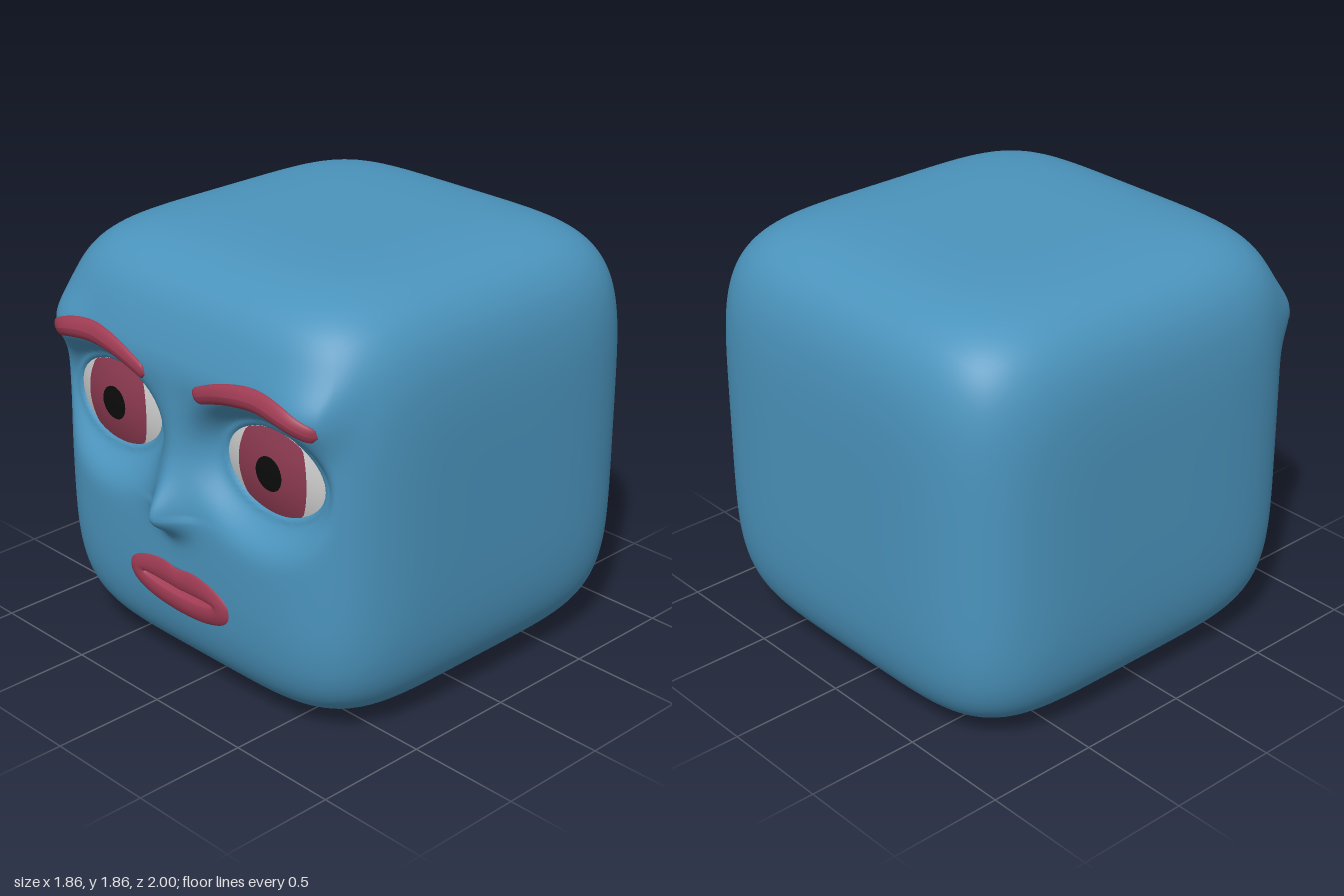
import * as THREE from 'three';
import { mergeVertices } from 'three/addons/utils/BufferGeometryUtils.js';

const { smoothstep, lerp } = THREE.MathUtils;
const mat = (color, side = THREE.FrontSide) => new THREE.MeshStandardMaterial({ color, side });
const BLUE = 0x4b94bd, RED = 0xa03c54, IRIS = 0x8c3a50;

// Rounded-cube head: centre, half sizes and squareness
const H = { y: 0.93, z: -0.065, a: 0.93, c: 0.935, n: 5 };
const EYE = { x: 0.468, y: 1.123, w: 0.268, h: 0.178 };
const bell = (v, s, p = 2) => Math.exp(-Math.pow(Math.abs(v) / s, p));

// Front of the plain rounded cube
function baseZ(x, y) {
  const k = 1 - Math.abs(x / H.a) ** H.n - Math.abs((y - H.y) / H.a) ** H.n;
  return H.z + H.c * Math.max(k, 0) ** (1 / H.n);
}

const eyeDist = (x, y) => Math.hypot((Math.abs(x) - EYE.x) / EYE.w, (y - EYE.y) / EYE.h);

// Front of the eyeball, a shallow dome that turns back at the outer corner
function eyeZ(x, y) {
  const d = Math.min(eyeDist(x, y), 1.1);
  const out = Math.max(0, (Math.abs(x) - EYE.x) / EYE.w);
  return 0.785 - 0.032 * d * d - 0.015 * Math.min(out * out, 1.3);
}

// Sculpted face: sockets, brow ridge and nose
function faceZ(x, y) {
  const ax = Math.abs(x), d = eyeDist(x, y);
  let z = baseZ(x, y);
  // brow ridge
  z += bell(y - 1.44, 0.12) * (0.022 + 0.043 * smoothstep(ax, 0.45, 0.75)) * (1 - smoothstep(ax, 0.77, 0.87));
  // eye socket, fading softly into cheek, brow and nose, with a slight lid at its rim
  const c = (ax - EYE.x) / EYE.w / Math.max(d, 0.01), s = (y - EYE.y) / EYE.h / Math.max(d, 0.01);
  const fade = s * s * (s > 0 ? 0.38 : 0.55) + c * c * (c > 0 ? 0.18 : 0.34);
  const w = d < 1.05 ? 1 : bell(d - 1.05, fade);
  const socket = eyeZ(x, y) + lerp(-0.03, 0.016, smoothstep(d, 0.88, 1.06));
  z = lerp(z, Math.min(z, socket), w);
  // nose bridge and tip
  z += 0.013 * bell(x, 0.08) * smoothstep(y, 0.88, 1.05) * (1 - smoothstep(y, 1.25, 1.45));
  const low = y < 0.83;
  z += 0.13 * bell(y - 0.83, low ? 0.085 : 0.15) * bell(x, low ? 0.09 : 0.08, 1.7);
  return z;
}

function headGeometry() {
  let g = new THREE.BoxGeometry(2, 2, 2, 124, 124, 44);
  g.deleteAttribute('uv');
  g.deleteAttribute('normal');
  g = mergeVertices(g);
  const p = g.attributes.position;
  for (let i = 0; i < p.count; i++) {
    const v = [p.getX(i), p.getY(i), p.getZ(i)];
    const r = v.reduce((s, c) => s + Math.abs(c) ** H.n, 0) ** (1 / H.n);
    const x = v[0] / r * H.a, y = v[1] / r * H.a + H.y;
    let z = v[2] / r * H.c + H.z;
    if (z > 0.2) {
      // hollow behind the lips
      const hollow = 0.06 * (1 - smoothstep(Math.hypot(x / 0.27, (y - 0.465) / 0.09), 0.6, 1));
      z += (faceZ(x, y) - baseZ(x, y) - hollow) * smoothstep(z, 0.2, 0.6);
    }
    p.setXYZ(i, x, y, z);
  }
  g.computeVertexNormals();
  return g;
}

// Surface patch spread from rings: point(s, t) gives [x, y, z], s from centre to rim, t the angle
function patch(point, rings = 12, segs = 64) {
  const pos = [], idx = [];
  for (let j = 0; j <= rings; j++)
    for (let i = 0; i < segs; i++) pos.push(...point(j / rings, i / segs * Math.PI * 2));
  for (let j = 0; j < rings; j++)
    for (let i = 0; i < segs; i++) {
      const k = (i + 1) % segs, a = j * segs + i, b = j * segs + k, c = a + segs, d = b + segs;
      idx.push(a, c, d, a, d, b);
    }
  const g = new THREE.BufferGeometry();
  g.setAttribute('position', new THREE.Float32BufferAttribute(pos, 3));
  g.setIndex(idx);
  g.computeVertexNormals();
  return g;
}

// Radius of an ellipse-like outline along an angle
const polar = (t, w, h, n = 2) =>
  (Math.abs(Math.cos(t) / w) ** n + Math.abs(Math.sin(t) / h) ** n) ** (-1 / n);

function eyePatch(side, radius, lift) {
  return patch((s, t) => {
    const r = s * radius(t);
    const x = side * EYE.x + r * Math.cos(t), y = EYE.y + r * Math.sin(t);
    return [x, y, eyeZ(x, y) + lift];
  });
}

// Eyebrow: a flattened tube hugging the ridge, with rounded, tapered ends
function browGeometry(side) {
  const pts = [[0.145, 1.375], [0.3, 1.427], [0.47, 1.455], [0.62, 1.44], [0.778, 1.385]]
    .map(([x, y]) => new THREE.Vector3(side * x, y, 0));
  const curve = new THREE.CatmullRomCurve3(pts);
  const n = 48, m = 16;
  const g = new THREE.TubeGeometry(curve, n, 0.048, m);
  const p = g.attributes.position, v = new THREE.Vector3();
  for (let i = 0; i <= n; i++) {
    const u = i / n, c = curve.getPointAt(u);
    const end = Math.min(1, Math.min(u, 1 - u) / 0.05);
    const k = Math.sqrt(1 - (1 - end) ** 2) * (0.72 + 0.3 * Math.sin(Math.PI * u));
    for (let j = 0; j <= m; j++) {
      const q = i * (m + 1) + j;
      v.fromBufferAttribute(p, q).sub(c).multiplyScalar(k).add(c);
      p.setXYZ(q, v.x, v.y, faceZ(v.x, v.y) + 0.4 * v.z);
    }
  }
  g.computeVertexNormals();
  return g;
}

// Lips: a rounded band between the mouth slit and the outer outline
function lipsGeometry() {
  return patch((s, t) => {
    const c = Math.cos(t), q = Math.sin(t);
    const slitX = 0.2 * c, slitY = 0.456 + 0.4 * slitX * slitX + 0.002 * q;
    const rimX = 0.305 * c;
    const up = q > 0 ? 0.113 - 0.018 * bell(rimX, 0.06) : 0.118;
    const rimY = 0.468 + up * Math.sign(q) * Math.abs(q) ** 0.85;
    const x = lerp(slitX, rimX, s), y = lerp(slitY, rimY, s);
    const puff = 0.016 * Math.sin(Math.PI * s) ** 0.7 - 0.001 * s - 0.02 * (1 - smoothstep(s, 0, 0.16));
    return [x, y, faceZ(x, y) + puff];
  }, 24, 96);
}

export function createModel() {
  const model = new THREE.Group();
  const add = (name, geometry, material, parent = model) => {
    const mesh = new THREE.Mesh(geometry, material);
    mesh.name = name;
    parent.add(mesh);
  };

  add('head', headGeometry(), mat(BLUE));
  add('lips', lipsGeometry(), mat(RED, THREE.DoubleSide));

  const almond = t => polar(t, EYE.w, EYE.h, 1.9);
  const iris = t => Math.min(almond(t), polar(t, 0.187, 0.25));
  for (const [side, label] of [[1, 'left'], [-1, 'right']]) {
    const eye = new THREE.Group();
    eye.name = label + 'Eye';
    add('eyeWhite', eyePatch(side, almond, 0), mat(0xcccccc, THREE.DoubleSide), eye);
    add('iris', eyePatch(side, iris, 0.003), mat(IRIS, THREE.DoubleSide), eye);
    add('pupil', eyePatch(side, () => 0.072, 0.006), mat(0x0c0c0c, THREE.DoubleSide), eye);
    model.add(eye);
    add(label + 'Eyebrow', browGeometry(side), mat(RED));
  }
  return model;
}
